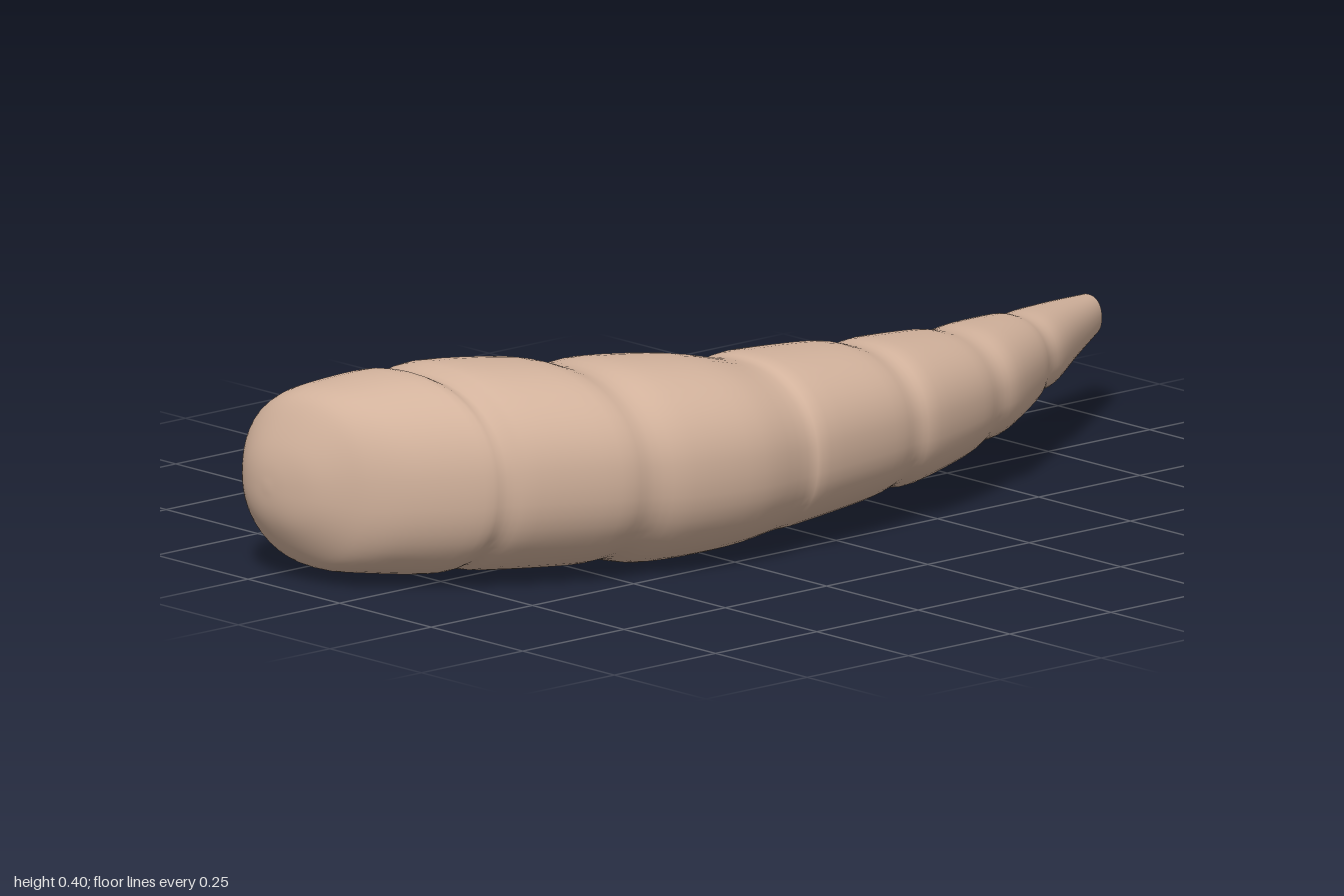
import * as THREE from 'three';

// Cross-sections along the body: x, top y, bottom y, back z, front z
const SECTIONS = [
  [-1, 0.185, 0.185, -0.2, -0.2],
  [-0.995, 0.23, 0.14, -0.245, -0.15],
  [-0.98, 0.275, 0.1, -0.285, -0.09],
  [-0.95, 0.33, 0.053, -0.32, -0.03],
  [-0.92, 0.357, 0.028, -0.333, 0.018],
  [-0.87, 0.373, 0.02, -0.333, 0.075],
  [-0.78, 0.39, 0.015, -0.305, 0.155],
  [-0.74, 0.378, 0.025, -0.278, 0.172],
  [-0.69, 0.397, 0.015, -0.282, 0.21],
  [-0.55, 0.392, 0.012, -0.22, 0.275],
  [-0.48, 0.373, 0.018, -0.17, 0.285],
  [-0.4, 0.38, 0.003, -0.153, 0.313],
  [-0.25, 0.366, 0.008, -0.11, 0.333],
  [-0.13, 0.34, 0.022, -0.067, 0.317],
  [-0.08, 0.348, 0.025, -0.07, 0.325],
  [0.1, 0.335, 0.04, -0.057, 0.303],
  [0.17, 0.318, 0.054, -0.038, 0.286],
  [0.23, 0.322, 0.05, -0.045, 0.284],
  [0.38, 0.305, 0.065, -0.061, 0.235],
  [0.45, 0.29, 0.08, -0.066, 0.202],
  [0.52, 0.29, 0.083, -0.08, 0.18],
  [0.65, 0.275, 0.1, -0.11, 0.1],
  [0.7, 0.263, 0.115, -0.12, 0.064],
  [0.76, 0.26, 0.118, -0.136, 0.035],
  [0.88, 0.245, 0.134, -0.17, -0.05],
  [1, 0.228, 0.152, -0.204, -0.13],
];
const SIDES = 48;
const STEPS = 4;

const smooth = (a, b) => new THREE.CatmullRomCurve3(
  SECTIONS.map((s) => new THREE.Vector3(s[0], s[a], s[b])), false, 'catmullrom', 0.5);
const heights = smooth(1, 2);
const depths = smooth(3, 4);

// Points of one slightly squared oval ring
function ring(t) {
  const h = heights.getPoint(t), d = depths.getPoint(t);
  const bulge = (v) => Math.sign(v) * Math.pow(Math.abs(v), 2 / 2.25);
  const points = [];
  for (let j = 0; j < SIDES; j++) {
    const a = (j / SIDES) * Math.PI * 2;
    points.push(
      h.x,
      (h.y + h.z) / 2 + ((h.y - h.z) / 2) * bulge(Math.cos(a)),
      (d.y + d.z) / 2 + ((d.z - d.y) / 2) * bulge(Math.sin(a)));
  }
  return points;
}

function makeGeometry(positions, index) {
  const g = new THREE.BufferGeometry();
  g.setAttribute('position', new THREE.Float32BufferAttribute(positions, 3));
  g.setIndex(index);
  g.computeVertexNormals();
  return g;
}

export function createModel() {
  const group = new THREE.Group();
  group.name = 'curvedGrub';
  const skin = new THREE.MeshStandardMaterial({ color: 0xd2b29c });
  skin.name = 'tan skin';

  // Ringed, curved body
  const count = (SECTIONS.length - 1) * STEPS;
  const positions = [], index = [];
  for (let i = 0; i <= count; i++) {
    positions.push(...ring(i / count));
    if (i === count) break;
    for (let j = 0; j < SIDES; j++) {
      const k = (j + 1) % SIDES;
      const a = i * SIDES + j, b = i * SIDES + k;
      if (i > 0) index.push(a, b, a + SIDES);
      index.push(b, b + SIDES, a + SIDES);
    }
  }
  const bodyGeometry = makeGeometry(positions, index);
  for (let j = 0; j < SIDES; j++) bodyGeometry.attributes.normal.setXYZ(j, -1, 0, 0);
  const body = new THREE.Mesh(bodyGeometry, skin);
  body.name = 'ringedBody';

  // Flat cut at the thin end
  const capIndex = [];
  for (let j = 1; j < SIDES - 1; j++) capIndex.push(0, j, j + 1);
  const cap = new THREE.Mesh(makeGeometry(ring(1), capIndex), skin);
  cap.name = 'tipCap';

  group.add(body, cap);
  return group;
}
